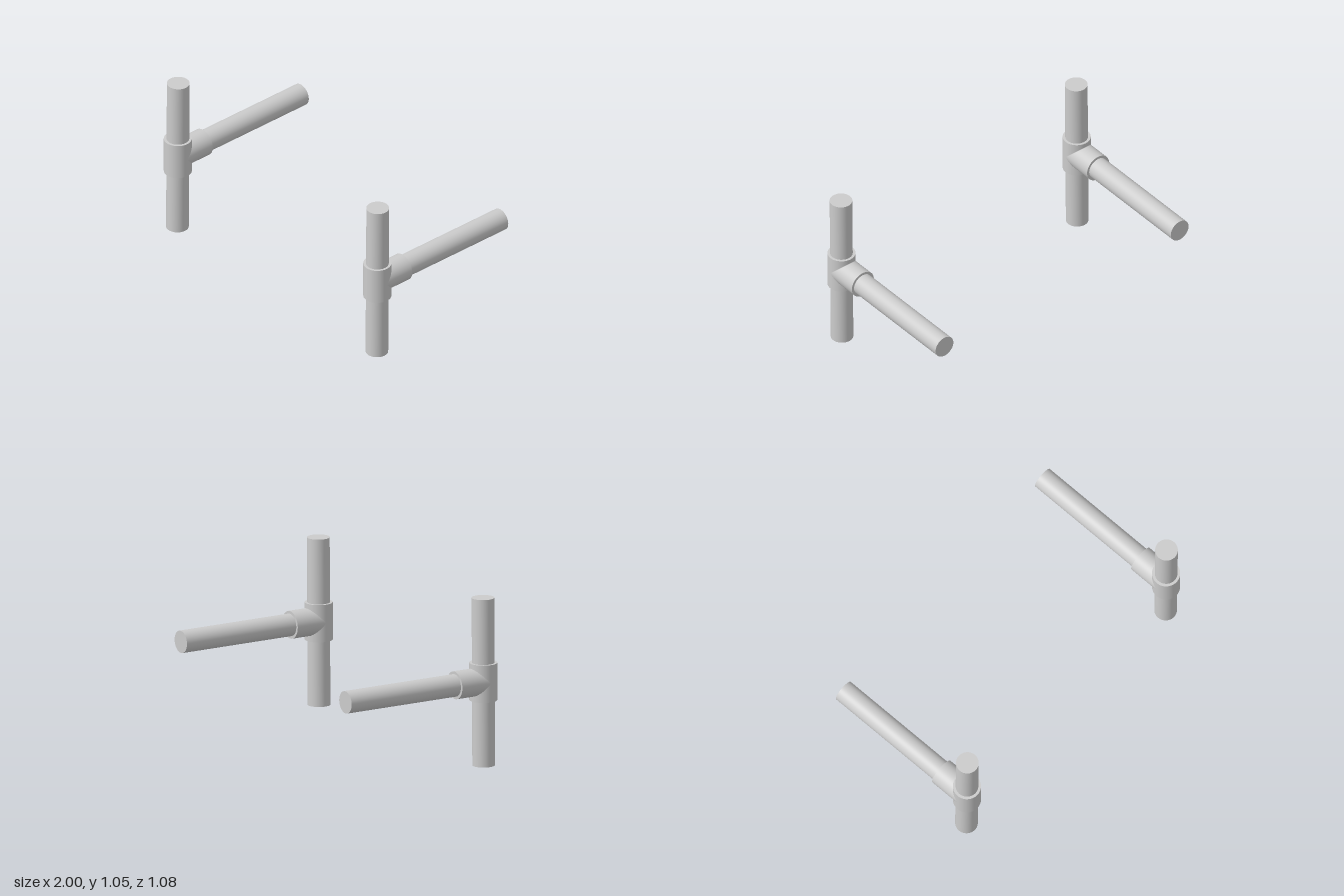
import * as THREE from 'three';

const PIPE_R = 0.069;
const SLEEVE_R = 0.0855;
const POST_Z = 0.456;  // depth of the upright's axis
const ARM_Y = 0.5245;  // height of the arm's axis
const POST_H = 1.044;

const material = new THREE.MeshStandardMaterial({ color: 0xcccccc });

// Closed upright cylinder between two heights
function upright(name, radius, y0, y1) {
  const mesh = new THREE.Mesh(new THREE.CylinderGeometry(radius, radius, y1 - y0, 64), material);
  mesh.name = name;
  mesh.position.set(0, (y0 + y1) / 2, POST_Z);
  return mesh;
}

// Closed cylinder lying along z between two depths
function lying(name, radius, z0, z1) {
  const mesh = new THREE.Mesh(new THREE.CylinderGeometry(radius, radius, z1 - z0, 64), material);
  mesh.name = name;
  mesh.rotation.x = Math.PI / 2;
  mesh.position.set(0, ARM_Y, (z0 + z1) / 2);
  return mesh;
}

function pipeTee(name, x) {
  const tee = new THREE.Group();
  tee.name = name;
  // Upright pipe, leaning very slightly towards +x
  const post = upright('uprightPipe', PIPE_R, 0, POST_H);
  post.rotation.z = -0.0075;
  tee.add(
    post,
    // Tee fitting: upright sleeve and its branch of equal radius
    upright('fittingSleeve', SLEEVE_R, 0.407, 0.64),
    lying('fittingBranch', SLEEVE_R, 0.249, POST_Z),
    // Long pipe running to the back
    lying('backPipe', PIPE_R, -0.542, 0.3)
  );
  tee.position.x = x;
  return tee;
}

export function createModel() {
  const model = new THREE.Group();
  model.name = 'pipeTeePair';
  model.add(pipeTee('leftTee', 0.9145), pipeTee('rightTee', -0.9145));
  return model;
}
